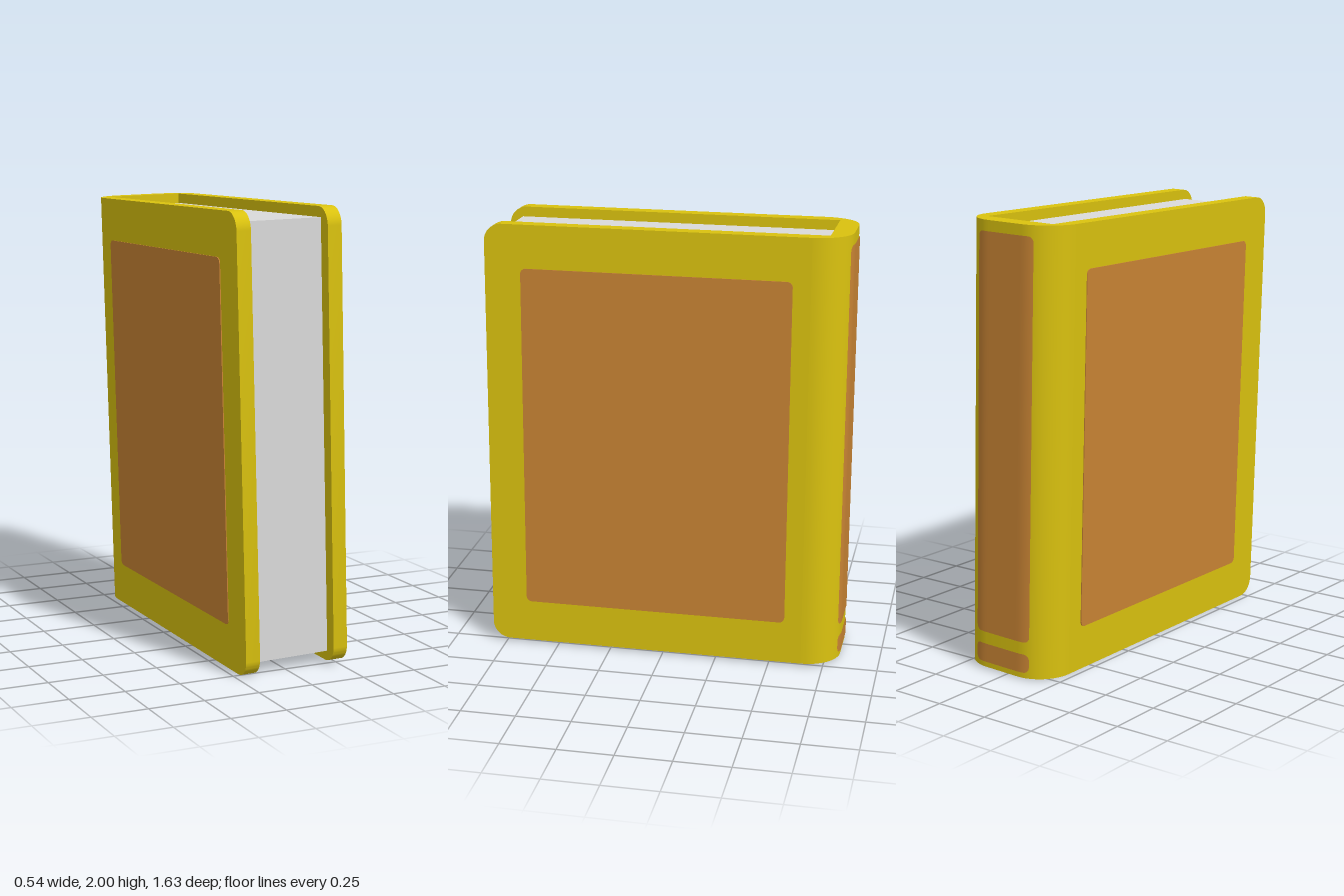
import * as THREE from 'three';
import { toCreasedNormals } from 'three/addons/utils/BufferGeometryUtils.js';

const H = 1.987;       // cover height
const HALF = 0.245;    // half thickness of the closed book
const BOARD = 0.066;   // cover thickness
const FRONT = 0.815;   // fore edge of the boards
const SEAM = -0.65;    // where the boards meet the rounded spine
const FLAT = 0.09;     // half width of the flat middle of the spine
const RX = HALF - FLAT, RZ = 0.165; // spine corner radii
const LEAN = THREE.MathUtils.degToRad(1.58);

// Rectangle in (z, y) with separate corner radii at its back and front ends
function roundedRect(z0, z1, y0, y1, rBack, rFront) {
  const s = new THREE.Shape();
  s.moveTo(z0 + rBack, y0);
  s.lineTo(z1 - rFront, y0);
  if (rFront) s.absarc(z1 - rFront, y0 + rFront, rFront, -Math.PI / 2, 0);
  s.lineTo(z1, y1 - rFront);
  if (rFront) s.absarc(z1 - rFront, y1 - rFront, rFront, 0, Math.PI / 2);
  s.lineTo(z0 + rBack, y1);
  if (rBack) s.absarc(z0 + rBack, y1 - rBack, rBack, Math.PI / 2, Math.PI);
  s.lineTo(z0, y0 + rBack);
  if (rBack) s.absarc(z0 + rBack, y0 + rBack, rBack, Math.PI, Math.PI * 1.5);
  return s;
}

// Upright slab filling xMax - thickness to xMax
function slab(shape, xMax, thickness) {
  const g = new THREE.ExtrudeGeometry(shape, { depth: thickness, bevelEnabled: false, curveSegments: 8 });
  g.rotateY(-Math.PI / 2);
  g.translate(xMax, 0, 0);
  return toCreasedNormals(g, 0.6);
}

// Rounded spine with a square inner hollow
function spineGeometry() {
  const s = new THREE.Shape();
  const inner = HALF - BOARD;
  s.moveTo(-HALF, -SEAM);
  s.absellipse(-FLAT, -SEAM, RX, RZ, Math.PI, Math.PI / 2, true);
  s.absellipse(FLAT, -SEAM, RX, RZ, Math.PI / 2, 0, true);
  s.lineTo(inner, -SEAM);
  s.lineTo(inner, 0.72);
  s.lineTo(-inner, 0.72);
  s.lineTo(-inner, -SEAM);
  const g = new THREE.ExtrudeGeometry(s, { depth: H, bevelEnabled: false, curveSegments: 6 });
  g.rotateX(-Math.PI / 2);
  return toCreasedNormals(g, 0.6);
}

// Round-cornered label that follows the spine curve
function spineLabel(y0, y1) {
  const w = 0.148, r = 0.025, segments = 24;
  const g = new THREE.PlaneGeometry(2, 2, segments, 1);
  const p = g.attributes.position;
  for (let i = 0; i < p.count; i++) {
    const x = -w * Math.sin(p.getX(i) * Math.PI / 2);
    const c = Math.max(0, Math.abs(x) - (w - r));
    const inset = r - Math.sqrt(Math.max(0, r * r - c * c));
    const y = p.getY(i) > 0 ? y1 - inset : y0 + inset;
    const t = Math.max(0, Math.abs(x) - FLAT) / RX;
    p.setXYZ(i, x, y, SEAM - RZ * Math.sqrt(1 - t * t) - 0.004);
  }
  g.computeVertexNormals();
  return g;
}

export function createModel() {
  const coverMat = new THREE.MeshStandardMaterial({ name: 'coverYellow', color: 0xdac20f });
  const panelMat = new THREE.MeshStandardMaterial({ name: 'panelOrange', color: 0xc98434 });
  const pageMat = new THREE.MeshStandardMaterial({ name: 'pageGrey', color: 0xdadada });

  const model = new THREE.Group();
  model.name = 'book';
  const book = new THREE.Group();
  book.name = 'leaningBook';
  model.add(book);

  const add = (name, geometry, material) => {
    const mesh = new THREE.Mesh(geometry, material);
    mesh.name = name;
    book.add(mesh);
    return mesh;
  };

  // Cover boards and their inset-coloured panels
  const boardShape = roundedRect(SEAM, FRONT, 0, H, 0, 0.08);
  const panelShape = roundedRect(-0.57, 0.65, 0.197, H - 0.197, 0.025, 0.025);
  const plate = 0.004;
  add('leftBoard', slab(boardShape, HALF, BOARD), coverMat);
  add('rightBoard', slab(boardShape, -HALF + BOARD, BOARD), coverMat);
  add('leftPanel', slab(panelShape, HALF + plate, plate), panelMat);
  add('rightPanel', slab(panelShape, -HALF, plate), panelMat);

  // Spine with a long label and a short one below
  add('spine', spineGeometry(), coverMat);
  add('spineLabel', spineLabel(0.165, 1.94), panelMat);
  add('spineLowerLabel', spineLabel(0.025, 0.11), panelMat);

  // Page block
  const pages = add('pages', new THREE.BoxGeometry(2 * (HALF - BOARD), 1.895, 1.475), pageMat);
  pages.position.set(0, H / 2, 0.0175);

  // Slight sideways lean, resting on the lower right edge
  book.rotation.z = LEAN;
  book.position.set(Math.sin(LEAN) * H / 2, Math.sin(LEAN) * HALF, 0);
  return model;
}
